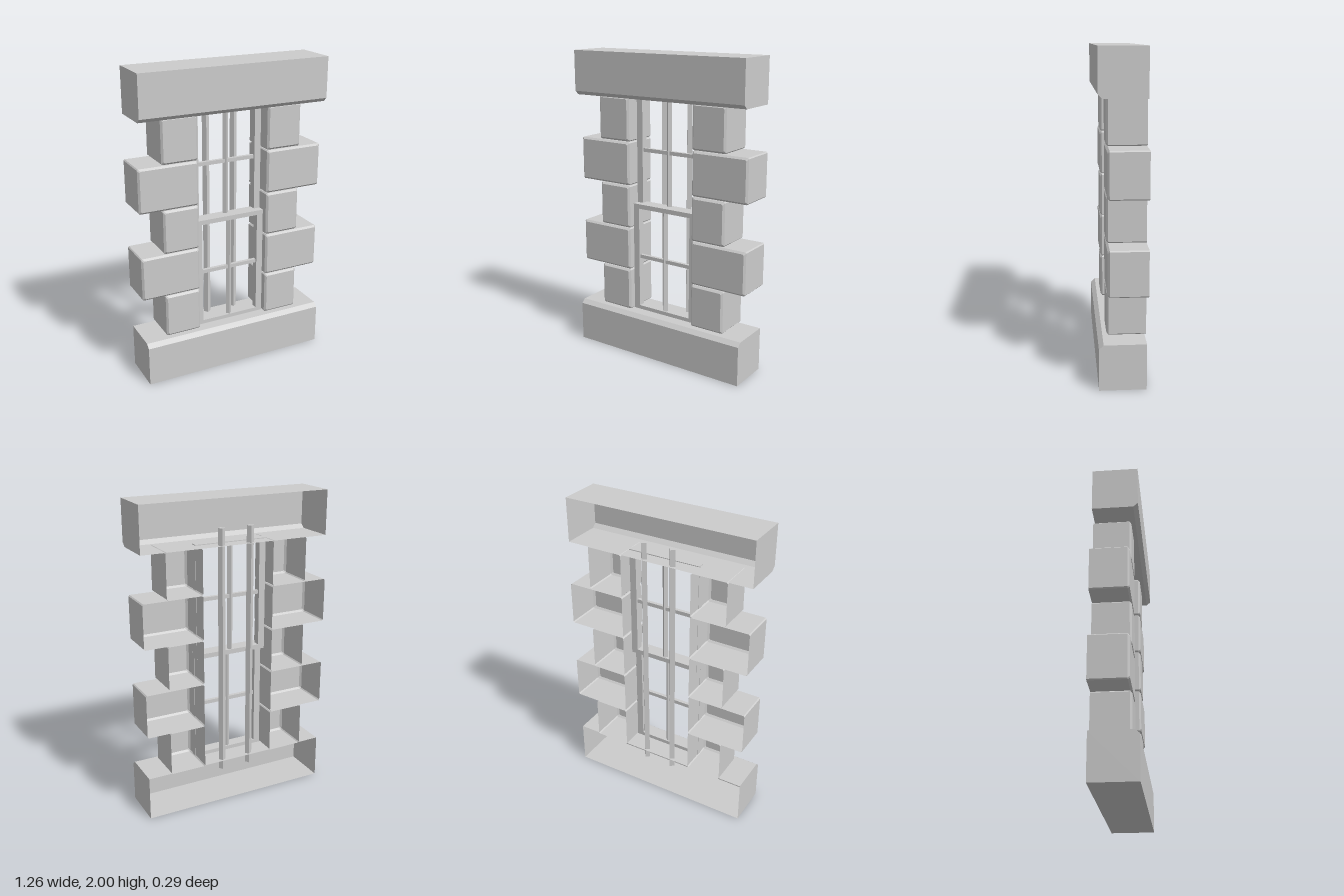
import * as THREE from 'three';

const material = new THREE.MeshStandardMaterial({ color: 0xcccccc, flatShading: true, side: THREE.DoubleSide });

// Skins a row of matching cross-sections with flat faces; ends are fanned if asked.
function skin(sections, { closed = false, capStart = false, capEnd = false }) {
  const pos = [];
  const tri = (a, b, c) => pos.push(...a, ...b, ...c);
  for (let i = 0; i < sections.length - 1; i++) {
    const s = sections[i], t = sections[i + 1], n = s.length;
    for (let j = 0; j < (closed ? n : n - 1); j++) {
      const k = (j + 1) % n;
      tri(s[j], s[k], t[k]);
      tri(s[j], t[k], t[j]);
    }
  }
  const first = sections[0], last = sections[sections.length - 1];
  for (let j = 1; j < first.length - 1; j++) {
    if (capStart) tri(first[0], first[j + 1], first[j]);
    if (capEnd) tri(last[0], last[j], last[j + 1]);
  }
  const g = new THREE.BufferGeometry();
  g.setAttribute('position', new THREE.Float32BufferAttribute(pos, 3));
  g.computeVertexNormals();
  return g;
}

function add(parent, name, geometry, x = 0, y = 0, z = 0) {
  const m = new THREE.Mesh(geometry, material);
  m.name = name;
  m.position.set(x, y, z);
  parent.add(m);
  return m;
}

// Beam with one sloped front edge, hollow and open at the back.
function beamGeometry(flip) {
  let profile = [[-0.13, 0.285], [0.125, 0.285], [0.153, 0.26], [0.153, 0], [-0.13, 0]];
  if (flip) profile = profile.map(([z, y]) => [z, 2 - y]).reverse();
  const at = x => profile.map(([z, y]) => [x, y, z]);
  return skin([at(-0.625), at(0.625)], { capStart: true, capEnd: true });
}

// Stone block with bevelled front edges, hollow and open at the back.
function blockGeometry(w, h) {
  const ring = (inset, z) => {
    const a = w / 2 - inset, b = h / 2 - inset, c = 0.007;
    return [[a, -b + c], [a, b - c], [a - c, b], [-a + c, b], [-a, b - c], [-a, -b + c], [-a + c, -b], [a - c, -b]]
      .map(([x, y]) => [x, y, z]);
  };
  return skin([ring(0, -0.14), ring(0, 0.088), ring(0.012, 0.1)], { closed: true, capEnd: true });
}

// One sash: stiles, rails, a horizontal glazing bar and a pointed mullion.
function sash(name, y0, y1, z, barY, bottomRail, topRail) {
  const g = new THREE.Group();
  g.name = name;
  const depth = 0.045, h = y1 - y0, mid = (y0 + y1) / 2;
  for (const s of [-1, 1]) add(g, 'stile', new THREE.BoxGeometry(0.045, h, depth), s * 0.2195, mid, z);
  add(g, 'bottomRail', new THREE.BoxGeometry(0.48, bottomRail, depth), 0, y0 + bottomRail / 2, z);
  add(g, 'topRail', new THREE.BoxGeometry(0.48, topRail, depth), 0, y1 - topRail / 2, z);
  add(g, 'glazingBar', new THREE.BoxGeometry(0.4, 0.024, 0.022), 0, barY, z);
  add(g, 'mullion', new THREE.CylinderGeometry(0.019, 0.019, h - 0.02, 4), 0, mid, z);
  return g;
}

export function createModel() {
  const model = new THREE.Group();
  model.name = 'window';

  add(model, 'sill', beamGeometry(false));
  add(model, 'lintel', beamGeometry(true));

  // Alternating narrow and wide stones up each side
  const pitch = (1.72 - 0.285) / 5;
  for (const s of [-1, 1]) {
    const side = new THREE.Group();
    side.name = s > 0 ? 'leftSurround' : 'rightSurround';
    for (let i = 0; i < 5; i++) {
      const w = i % 2 ? 0.388 : 0.235;
      add(side, i % 2 ? 'wideStone' : 'narrowStone', blockGeometry(w, pitch - 0.005),
        s * (0.24 + w / 2), 0.285 + pitch * (i + 0.5), 0);
    }
    model.add(side);
  }

  // Lower sash sits in front of the upper one
  model.add(sash('lowerSash', 0.285, 1.02, 0.0275, 0.658, 0.025, 0.03));
  model.add(sash('upperSash', 0.99, 1.72, -0.0175, 1.372, 0.03, 0.02));

  // Security bars behind the sashes, set at an angle
  for (const s of [-1, 1]) {
    const bar = add(model, 'securityBar', new THREE.BoxGeometry(0.032, 1.6, 0.032), s * 0.0975, 1.02, -0.1);
    bar.rotation.y = 0.6;
  }
  return model;
}
